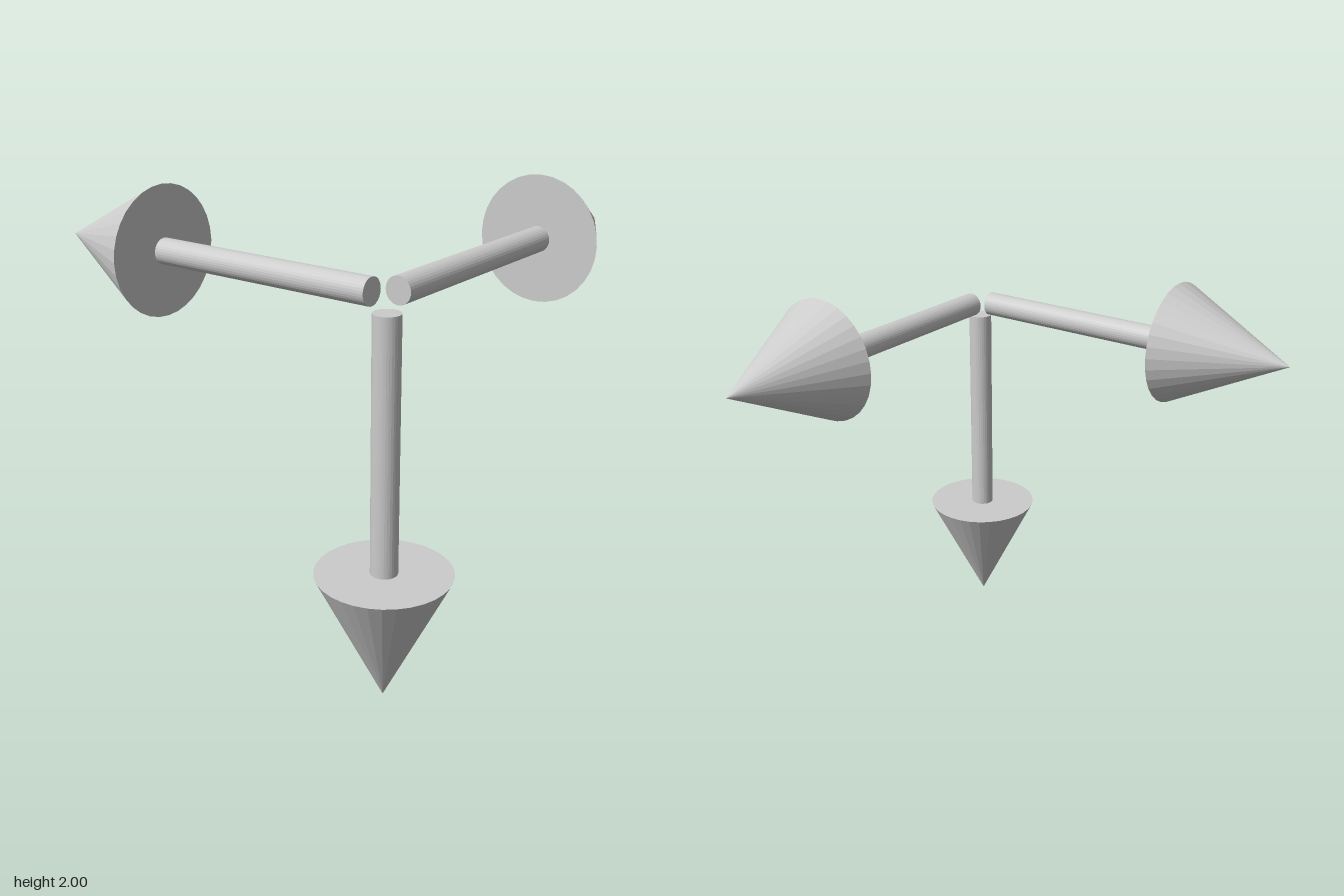
import * as THREE from 'three';

const HEAD_RADIUS = 0.283;
const HEAD_LENGTH = 0.57;
const SHAFT_RADIUS = 0.057;
const SHAFT_START = 0.07; // gap between the common corner and each shaft
const REACH = 1.717; // corner to arrow tip
const SIDES = 32;

export function createModel() {
  const material = new THREE.MeshStandardMaterial({ color: 0xcccccc, flatShading: true });

  // Arrow parts run along +y, starting at the corner
  const headBase = REACH - HEAD_LENGTH;
  const shaftLength = headBase - SHAFT_START;
  const shaftGeometry = new THREE.CylinderGeometry(SHAFT_RADIUS, SHAFT_RADIUS, shaftLength, SIDES)
    .translate(0, SHAFT_START + shaftLength / 2, 0);
  const headGeometry = new THREE.ConeGeometry(HEAD_RADIUS, HEAD_LENGTH, SIDES)
    .translate(0, headBase + HEAD_LENGTH / 2, 0);

  function makeArrow(name, rx, rz) {
    const arrow = new THREE.Group();
    arrow.name = name;
    const shaft = new THREE.Mesh(shaftGeometry, material);
    shaft.name = 'shaft';
    const head = new THREE.Mesh(headGeometry, material);
    head.name = 'arrowHead';
    arrow.add(shaft, head);
    arrow.rotation.set(rx, 0, rz);
    return arrow;
  }

  // Three arrows at right angles, sharing one corner
  const model = new THREE.Group();
  model.name = 'axisArrows';
  const corner = new THREE.Group();
  corner.name = 'arrowCorner';
  corner.position.set(HEAD_RADIUS - 1, REACH, 1 - HEAD_RADIUS);
  corner.add(
    makeArrow('leftArrow', 0, -Math.PI / 2),
    makeArrow('downArrow', Math.PI, 0),
    makeArrow('backArrow', -Math.PI / 2, 0),
  );
  model.add(corner);
  return model;
}
